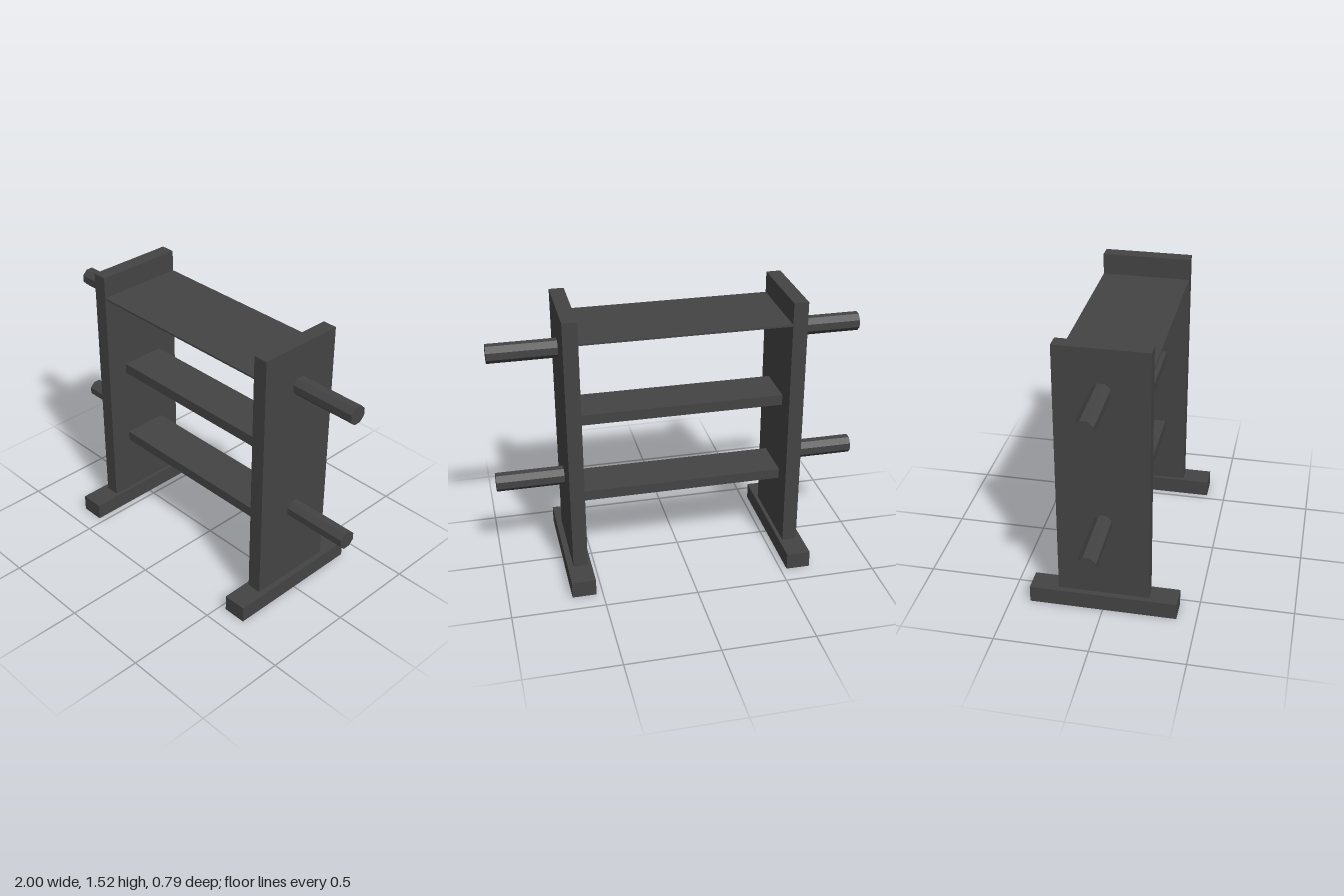
import * as THREE from 'three';

export function createModel() {
  const group = new THREE.Group();
  const material = new THREE.MeshStandardMaterial({ color: 0x444444, flatShading: true });

  function add(name, geometry, x, y, z = 0) {
    const mesh = new THREE.Mesh(geometry, material);
    mesh.name = name;
    mesh.position.set(x, y, z);
    group.add(mesh);
    return mesh;
  }

  // Box spanning the heights y0 to y1
  const box = (name, width, y0, y1, depth, x = 0) =>
    add(name, new THREE.BoxGeometry(width, y1 - y0, depth), x, (y0 + y1) / 2);

  // Mirrored ends: foot, upright panel and two octagonal pegs with flats on top
  for (const [side, s] of [['left', 1], ['right', -1]]) {
    box(side + 'Foot', 0.13, 0, 0.092, 0.79, s * 0.6);
    box(side + 'Panel', 0.079, 0.092, 1.517, 0.486, s * 0.594);

    for (const [level, y] of [['Lower', 0.533], ['Upper', 1.287]]) {
      const peg = new THREE.CylinderGeometry(0.051, 0.051, 0.367, 8);
      peg.rotateY(Math.PI / 8);
      peg.rotateZ(Math.PI / 2);
      add(side + level + 'Peg', peg, s * 0.8165, y);
    }
  }

  // Shelves between the panels: two narrow thick ones, one thin full-depth top
  box('lowerShelf', 1.109, 0.43, 0.486, 0.25);
  box('middleShelf', 1.109, 0.887, 0.945, 0.25);
  box('topShelf', 1.109, 1.39, 1.4, 0.486);

  return group;
}
